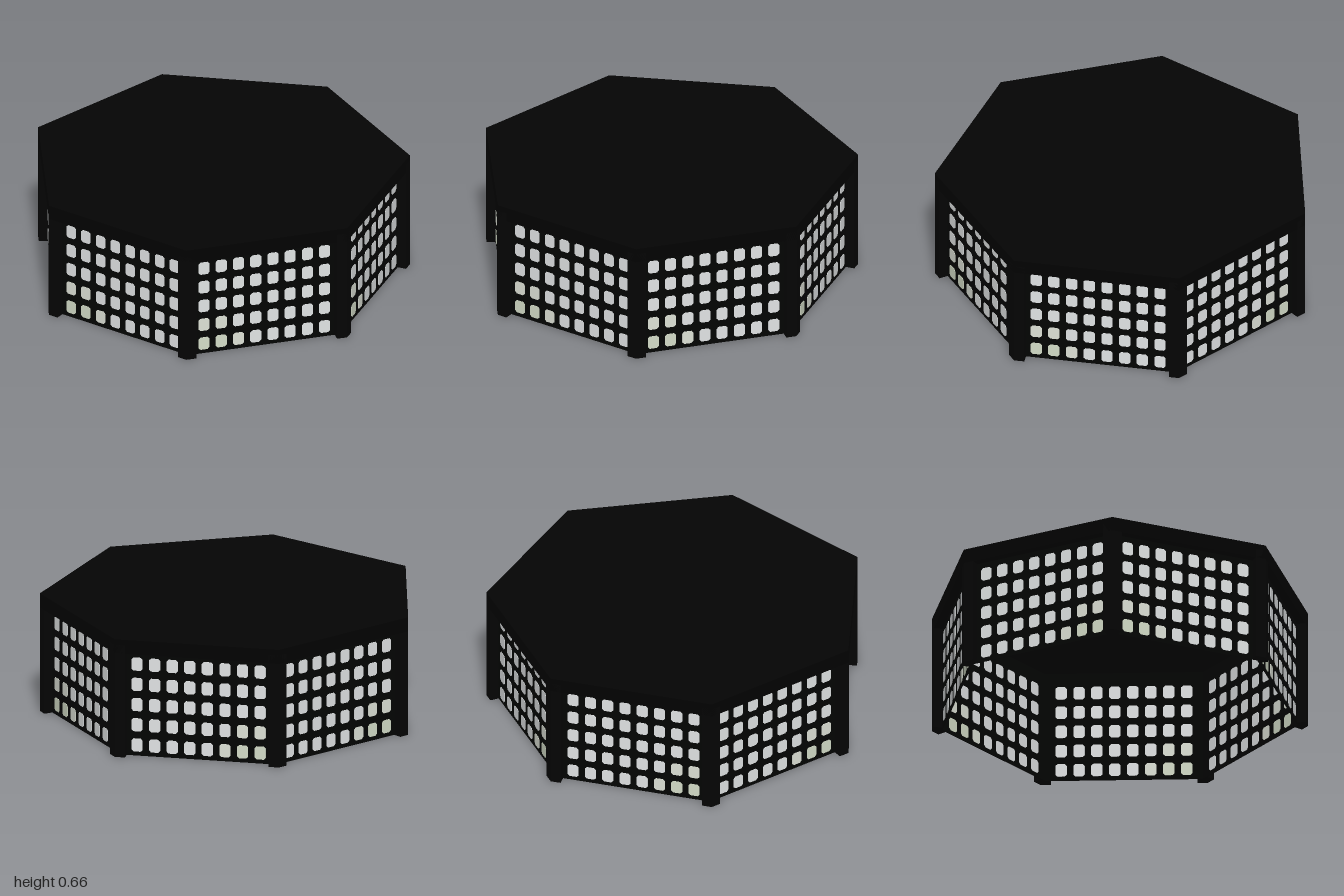
import * as THREE from 'three';
import { mergeGeometries } from 'three/addons/utils/BufferGeometryUtils.js';

const SIDES = 7;
const STEP = (Math.PI * 2) / SIDES;
const R = 1.0257;                          // corner radius
const APOTHEM = R * Math.cos(STEP / 2);
const HEIGHT = 0.656;
const CEILING = 0.625;
const INSET = 0.05;                        // how far the walls sit behind the edge

const mat = (name, color) => {
  const m = new THREE.MeshStandardMaterial({ color });
  m.name = name;
  return m;
};

// Outline of the seven-sided plan, inset from the outer edge
function planPoints(inset) {
  const r = R - inset / Math.cos(STEP / 2);
  return Array.from({ length: SIDES }, (_, i) =>
    new THREE.Vector2(r * Math.cos(i * STEP), r * Math.sin(i * STEP)));
}

// Extrude a plan shape upwards from y0 to y1
function prism(shape, y0, y1) {
  const g = new THREE.ExtrudeGeometry(shape, { depth: y1 - y0, bevelEnabled: false });
  return g.rotateX(-Math.PI / 2).translate(0, y0, 0);
}

// Pane with clipped corners, centred on its origin
function paneGeometry(w, h, c, depth) {
  const x = w / 2, y = h / 2;
  const s = new THREE.Shape([
    [x - c, -y], [x, -y + c], [x, y - c], [x - c, y],
    [-x + c, y], [-x, y - c], [-x, -y + c], [-x + c, -y],
  ].map(([a, b]) => new THREE.Vector2(a, b)));
  return new THREE.ExtrudeGeometry(s, { depth, bevelEnabled: false }).translate(0, 0, -depth / 2);
}

export function createModel() {
  const model = new THREE.Group();
  model.name = 'sevenSidedPavilion';
  const black = mat('black', 0x040404);
  const edgeBlack = mat('edgeBlack', 0x010101);
  const panelBlack = mat('panelBlack', 0x030403);
  const white = mat('paneWhite', 0xe6e9ea);
  const green = mat('paneGreen', 0xd6dfca);
  const paleGreen = mat('panePaleGreen', 0xe0e4d9);

  const add = (parent, name, geometry, material) => {
    const mesh = new THREE.Mesh(geometry, material);
    mesh.name = name;
    parent.add(mesh);
    return mesh;
  };

  const body = new THREE.Group();
  body.name = 'body';
  body.position.x = -0.0508;
  model.add(body);

  // Roof slab and the header band that hangs below its edge
  add(body, 'roof', prism(new THREE.Shape(planPoints(0)), CEILING, HEIGHT), [black, edgeBlack]);
  const ring = new THREE.Shape(planPoints(0));
  ring.holes.push(new THREE.Path(planPoints(INSET).reverse()));
  add(body, 'header', prism(ring, 0.578, CEILING), edgeBlack);

  // Corner post, wrapped round the corner on local +x and flush with the walls inside
  const half = STEP / 2, w = 0.055;
  const ax = R - w * Math.sin(half), ay = w * Math.cos(half);
  const bx = ax - INSET * Math.cos(half), by = ay - INSET * Math.sin(half);
  const postShape = new THREE.Shape([
    [R, 0], [ax, ay], [bx, by], [R - INSET / Math.cos(half), 0], [bx, -by], [ax, -ay],
  ].map(([x, y]) => new THREE.Vector2(x, y)));
  const postGeo = prism(postShape, 0, CEILING);

  // Panes sorted by tint: a greenish patch fills one lower corner
  const panes = { white: [], green: [], pale: [] };
  const pane = paneGeometry(0.061, 0.073, 0.011, 0.009);
  for (let row = 0; row < 5; row++) {
    for (let col = 0; col < 8; col++) {
      const g = pane.clone().translate((col - 3.5) * 0.0955, 0.059 + row * 0.1128, 0);
      const tint = row === 0 && col < 2 ? 'green'
        : (row === 0 && col === 2) || (row === 1 && col < 2) ? 'pale' : 'white';
      panes[tint].push(g);
    }
  }
  const whiteGeo = mergeGeometries(panes.white);
  const greenGeo = mergeGeometries(panes.green);
  const paleGeo = mergeGeometries(panes.pale);
  const panelWidth = 2 * (APOTHEM - INSET) * Math.tan(half);
  const panelGeo = new THREE.BoxGeometry(panelWidth, CEILING, 0.005).translate(0, CEILING / 2, 0);

  for (let i = 0; i < SIDES; i++) {
    add(body, 'cornerPost', postGeo, black).rotation.y = -i * STEP;

    // Recessed wall with its grid of panes, visible from both sides
    const a = (i + 0.5) * STEP;
    const wall = new THREE.Group();
    wall.name = 'wall';
    wall.position.set(Math.cos(a) * (APOTHEM - INSET), 0, Math.sin(a) * (APOTHEM - INSET));
    // three rear walls are turned round
    const turned = i >= 3 && i <= 5;
    wall.rotation.y = Math.PI / 2 - a + (turned ? Math.PI : 0);
    add(wall, 'wallPanel', panelGeo, panelBlack);
    add(wall, 'whitePanes', whiteGeo, white);
    add(wall, 'greenPanes', greenGeo, green);
    add(wall, 'palePanes', paleGeo, paleGreen);
    body.add(wall);
  }
  return model;
}
